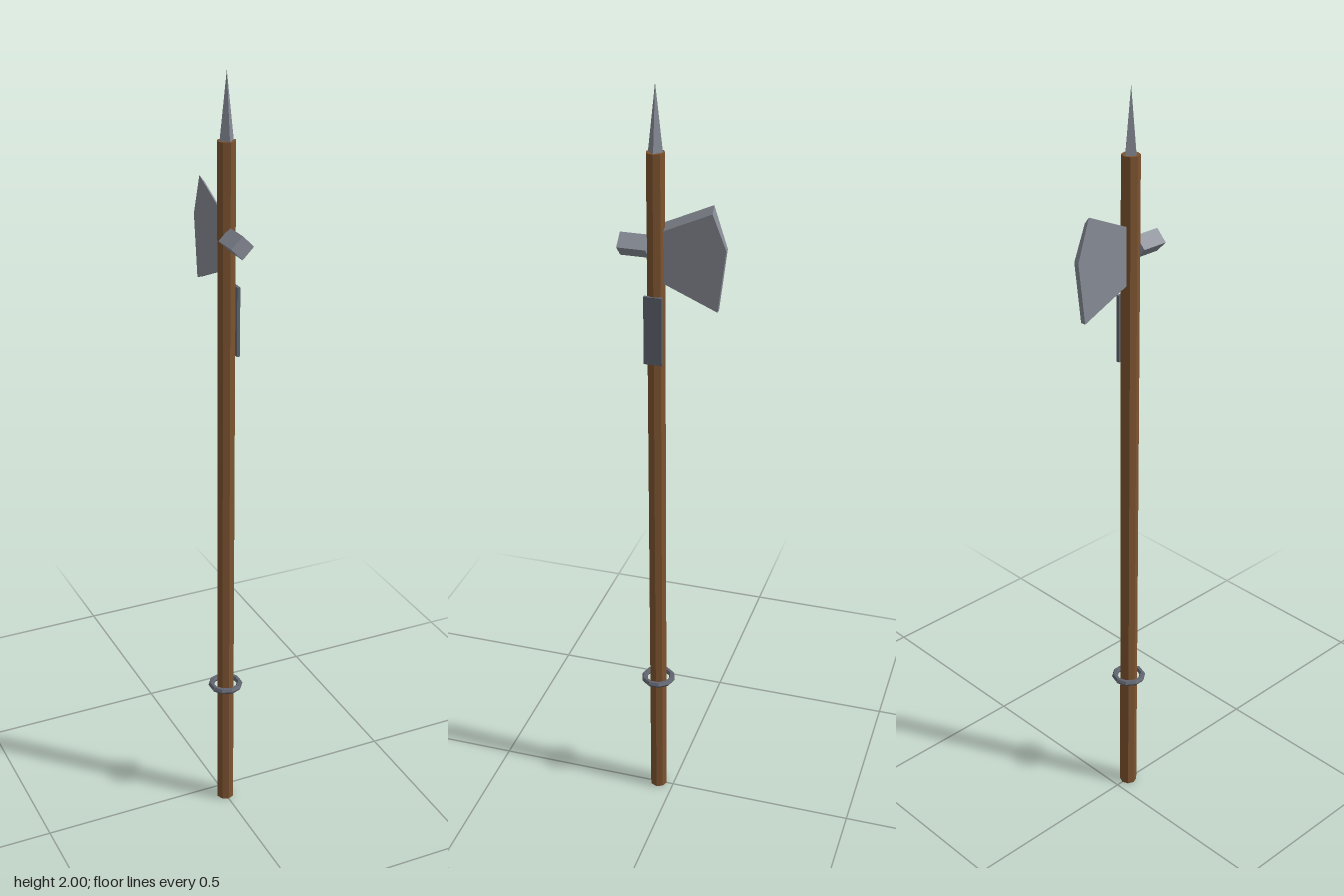
import * as THREE from 'three';

export function createModel() {
  const group = new THREE.Group();
  group.name = 'poleaxe';
  const material = (name, color) => {
    const m = new THREE.MeshStandardMaterial({ color, flatShading: true });
    m.name = name;
    return m;
  };
  const wood = material('wood', 0x7d5430);
  const steel = material('steel', 0x888c96);
  const iron = material('dark iron', 0x60646e);
  const axisZ = 0.042; // shaft axis

  const add = (name, geometry, mat, x, y, z) => {
    const mesh = new THREE.Mesh(geometry, mat);
    mesh.name = name;
    mesh.position.set(x, y, z);
    group.add(mesh);
    return mesh;
  };

  // Octagonal wooden shaft and four-sided spike
  add('shaft', new THREE.CylinderGeometry(0.023, 0.023, 1.84, 8), wood, 0, 0.92, axisZ);
  add('spike', new THREE.ConeGeometry(0.018, 0.16, 4), steel, 0, 1.92, axisZ);

  // Axe blade: flat profile in (-z, y), extruded across x
  const profile = [[-0.03, 1.526], [0.112, 1.465], [0.131, 1.622], [0.097, 1.725], [-0.03, 1.668]];
  const shape = new THREE.Shape(profile.map(([a, b]) => new THREE.Vector2(a, b)));
  const blade = new THREE.ExtrudeGeometry(shape, { depth: 0.014, bevelEnabled: false });
  blade.translate(0, 0, -0.007).rotateY(Math.PI / 2);
  // Chamfer the upper edge on the left face
  const p = blade.attributes.position;
  for (let i = 0; i < p.count; i++) {
    if (p.getX(i) > 0 && p.getY(i) > 1.64) p.setY(i, p.getY(i) - 0.018);
  }
  blade.computeVertexNormals();
  add('blade', blade, steel, 0, 0, 0);

  // Square hammer head set on its corner
  const hammer = new THREE.CylinderGeometry(0.029, 0.029, 0.071, 4).rotateX(Math.PI / 2);
  add('hammer', hammer, steel, 0, 1.61, 0.0955);

  // Side plate
  add('sidePlate', new THREE.BoxGeometry(0.008, 0.176, 0.046), iron, 0.021, 1.403, 0.044);

  // Ten-sided guard ring
  const ring = new THREE.TorusGeometry(0.038, 0.008, 6, 10).rotateZ(Math.PI / 10).rotateX(Math.PI / 2);
  add('ring', ring, iron, 0, 0.366, axisZ);

  return group;
}
